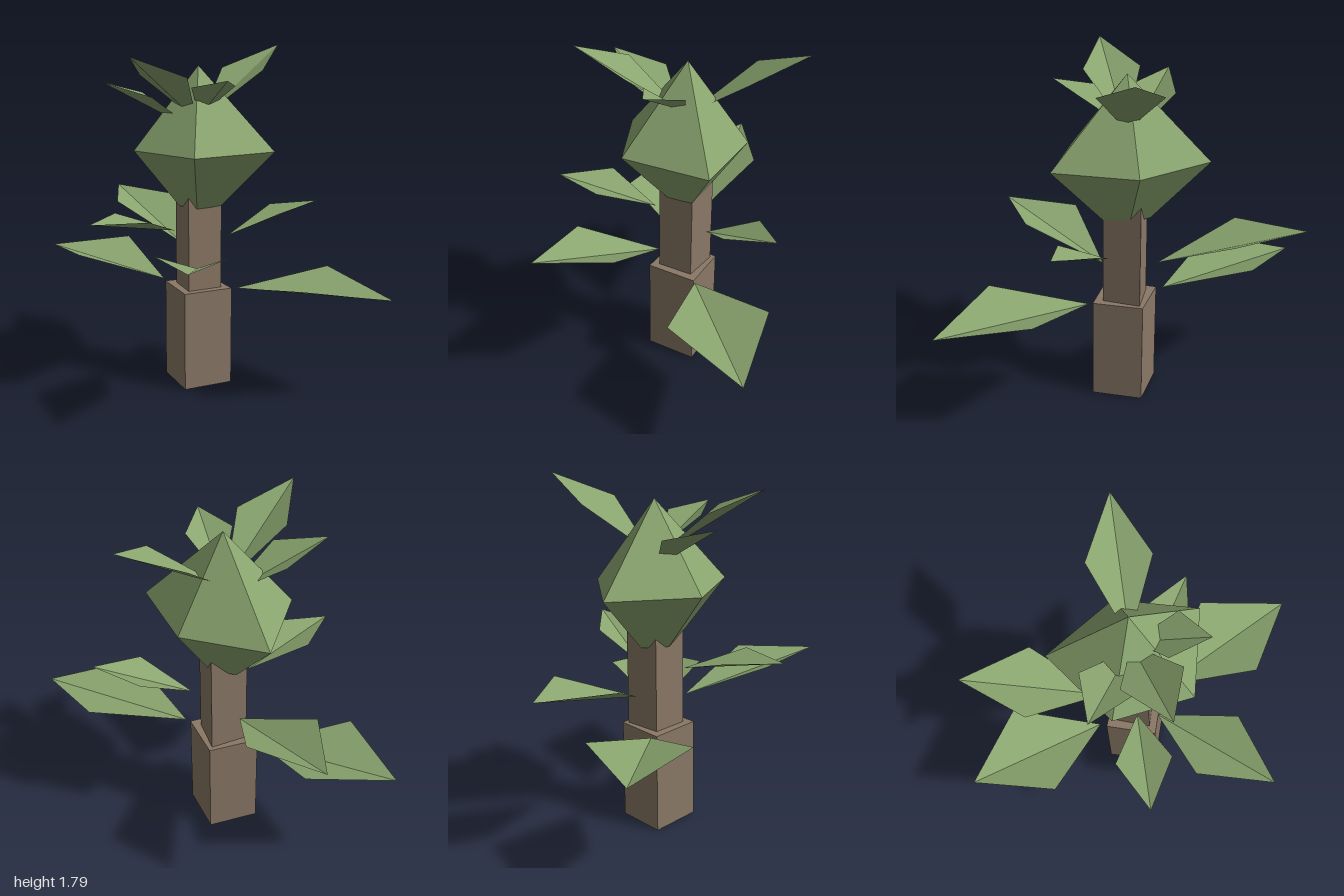
import * as THREE from 'three';

const AXIS = { x: -0.05, z: -0.155 };
const bark = new THREE.MeshStandardMaterial({ color: 0x8a7866, flatShading: true });
const green = new THREE.MeshStandardMaterial({ color: 0x8aa56f, flatShading: true });
const leafGreen = green.clone();
leafGreen.side = THREE.DoubleSide;

function facetMesh(name, triangles, material) {
  const geometry = new THREE.BufferGeometry();
  geometry.setAttribute('position', new THREE.Float32BufferAttribute(triangles.flat(2), 3));
  geometry.computeVertexNormals();
  const mesh = new THREE.Mesh(geometry, material);
  mesh.name = name;
  return mesh;
}

// Closed solid: one outline of [x, z] corners scaled at each [scale, y] ring,
// closed with fans that meet on the axis at bottomY and topY.
function loft(name, corners, rings, bottomY, topY, material) {
  const at = (r, i) => {
    const [x, z] = corners[i % corners.length];
    return [x * rings[r][0], rings[r][1], z * rings[r][0]];
  };
  const last = rings.length - 1;
  const tris = [];
  for (let i = 0; i < corners.length; i++) {
    tris.push([[0, bottomY, 0], at(0, i + 1), at(0, i)]);
    for (let r = 0; r < last; r++) {
      tris.push([at(r, i), at(r, i + 1), at(r + 1, i + 1)]);
      tris.push([at(r, i), at(r + 1, i + 1), at(r + 1, i)]);
    }
    tris.push([[0, topY, 0], at(last, i), at(last, i + 1)]);
  }
  return facetMesh(name, tris, material);
}

// Kite-shaped leaf folded along its midrib, pointing away from the axis
function leaf(name, [tipX, tipZ, tipY, baseY, sideY, baseRadius, halfWidth]) {
  const dx = tipX - AXIS.x, dz = tipZ - AXIS.z;
  const reach = Math.hypot(dx, dz);
  const ux = dx / reach, uz = dz / reach;
  const point = (along, across, y) => [ux * along + uz * across, y, uz * along - ux * across];
  const mid = THREE.MathUtils.lerp(baseRadius, reach, 0.52);
  const base = point(baseRadius, 0, baseY);
  const tip = point(reach, 0, tipY);
  return facetMesh(name, [
    [base, tip, point(mid, halfWidth, sideY)],
    [base, point(mid, -halfWidth, sideY), tip],
  ], leafGreen);
}

export function createModel() {
  const model = new THREE.Group();
  model.name = 'tree';

  // Trunk: two square sections, the upper one narrower and running into the crown
  const lower = [[0, 0.193], [0.19, 0], [0, -0.175], [-0.19, 0]];
  const upper = [[0, 0.138], [0.13, 0], [0, -0.145], [-0.127, 0]];
  model.add(loft('lowerTrunk', lower, [[1, 0], [1, 0.532]], 0, 0.532, bark));
  model.add(loft('upperTrunk', upper, [[1, 0.5], [1, 1.25]], 0.5, 1.25, bark));

  // Crown: uneven five-sided bulb with a pointed top
  const bulb = [[0.115, 0.355], [0.415, 0], [0.1, -0.29], [-0.335, -0.24], [-0.268, 0.22]];
  model.add(loft('crown', bulb, [[0.3, 0.972], [1, 1.276]], 0.972, 1.7, green));

  // Leaves: tip x, tip z, tip y, base y, side y, base radius, half width
  const trunkLeaves = [
    [0.997, -0.155, 0.558, 0.535, 0.635, 0.213, 0.255],
    [-1.0, -0.283, 0.638, 0.535, 0.676, 0.212, 0.25],
    [-0.772, -0.69, 0.938, 0.727, 0.915, 0.162, 0.195],
    [0.222, 0.687, 0.845, 0.665, 0.833, 0.155, 0.19],
    [0.52, -0.455, 0.98, 0.8, 0.94, 0.158, 0.126],
    [-0.382, 0.455, 0.966, 0.857, 0.966, 0.16, 0.142],
  ];
  const crownLeaves = [
    [-0.195, 0.37, 1.767, 1.42, 1.661, 0.015, 0.148],
    [0.222, -0.672, 1.788, 1.425, 1.668, 0.015, 0.156],
    [-0.467, 0.123, 1.626, 1.365, 1.556, 0.015, 0.14],
    [0.205, 0.123, 1.648, 1.44, 1.606, 0.015, 0.118],
  ];
  trunkLeaves.forEach((p, i) => model.add(leaf(`trunkLeaf${i + 1}`, p)));
  crownLeaves.forEach((p, i) => model.add(leaf(`crownLeaf${i + 1}`, p)));

  // All parts are built around the trunk axis
  for (const part of model.children) part.position.set(AXIS.x, 0, AXIS.z);
  return model;
}
